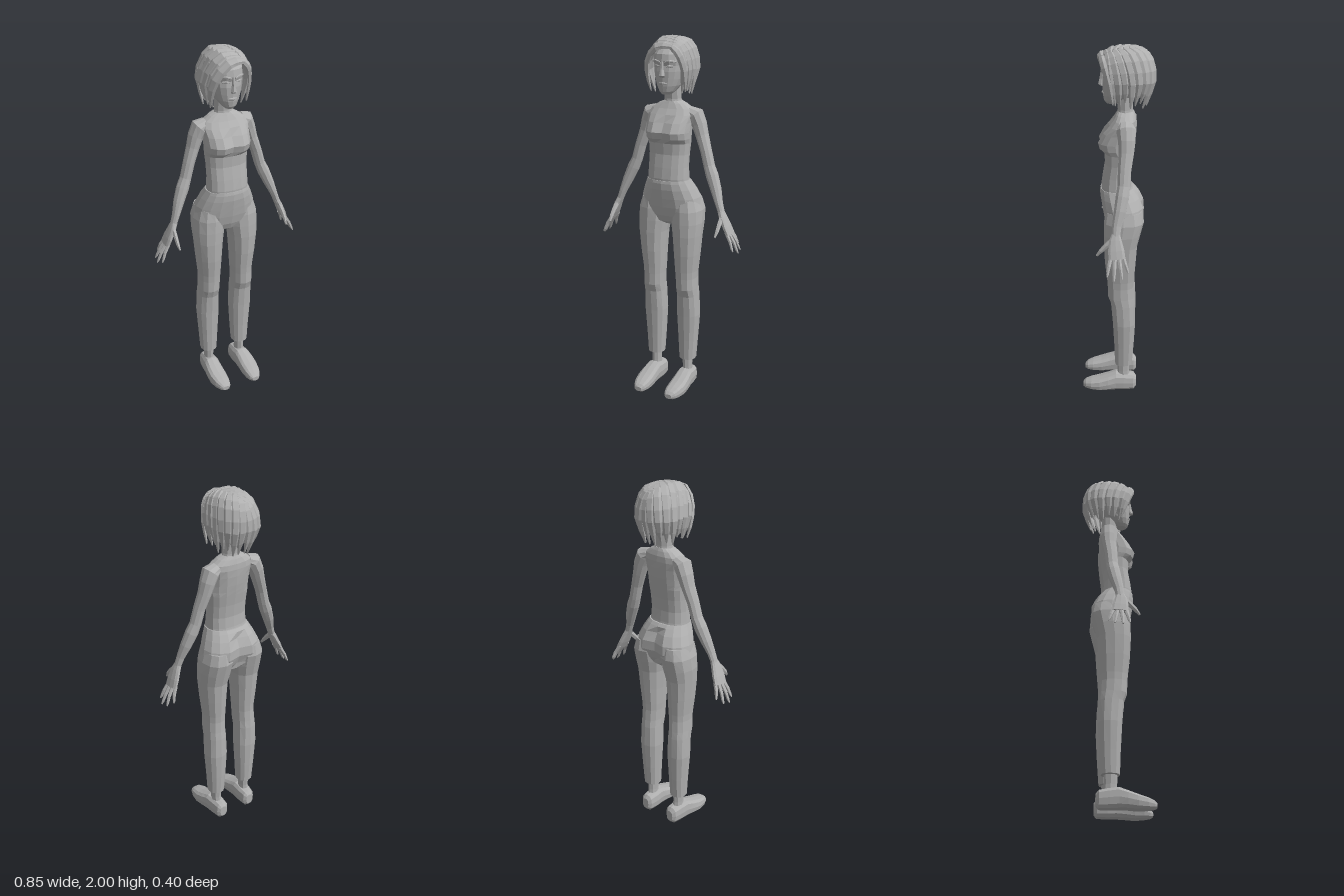
import * as THREE from 'three';

const V = (x, y, z) => new THREE.Vector3(x, y, z);
const UP = V(0, 1, 0), FRONT = V(0, 0, 1);
const grey = new THREE.MeshStandardMaterial({ color: 0xb0b0b0 });
grey.name = 'grey';

// Lofts closed sections along stations [x, y, z, halfWidth, halfDepth].
// hint(point) gives the depth direction, dir fixes the section plane, p squares the section.
function loft(stations, { n = 8, hint = () => FRONT, dir = null, p = 2, warp = null } = {}) {
  const pts = stations.map(s => V(s[0], s[1], s[2]));
  const pos = [], idx = [], last = pts.length - 1;
  pts.forEach((c, i) => {
    const t = dir ? dir.clone() : pts[Math.min(i + 1, last)].clone().sub(pts[Math.max(i - 1, 0)]).normalize();
    const h = hint(c), v = h.clone().addScaledVector(t, -h.dot(t)).normalize();
    const u = v.clone().cross(t);
    for (let j = 0; j < n; j++) {
      const a = j / n * Math.PI * 2;
      const f = k => Math.abs(k) < 1e-6 ? 0 : Math.sign(k) * Math.abs(k) ** (2 / p);
      const q = c.clone().addScaledVector(u, stations[i][3] * f(Math.cos(a)))
        .addScaledVector(v, stations[i][4] * f(Math.sin(a)));
      if (warp) warp(q);
      pos.push(q.x, q.y, q.z);
    }
  });
  for (let i = 0; i < last; i++) for (let j = 0; j < n; j++) {
    const k = (j + 1) % n, a = i * n + j, b = i * n + k;
    idx.push(a, b, b + n, a, b + n, a + n);
  }
  for (let j = 1; j < n - 1; j++) idx.push(0, j + 1, j, last * n, last * n + j, last * n + j + 1);
  const g = new THREE.BufferGeometry();
  g.setAttribute('position', new THREE.Float32BufferAttribute(pos, 3));
  g.setIndex(idx);
  return g;
}

// Mirrors a geometry in x and restores its winding
function mirrored(g) {
  const m = g.clone().scale(-1, 1, 1), ix = m.index.array;
  for (let i = 0; i < ix.length; i += 3) [ix[i], ix[i + 1]] = [ix[i + 1], ix[i]];
  return m;
}

function add(group, name, g) {
  const flat = g.toNonIndexed();
  flat.computeVertexNormals();
  const mesh = new THREE.Mesh(flat, grey);
  mesh.name = name;
  group.add(mesh);
}
function pair(group, name, g) {
  add(group, name + 'Left', g);
  add(group, name + 'Right', mirrored(g));
}

// Level sections from [y, halfWidth, zFront, zBack]
const level = (rows, opts) => loft(
  rows.map(([y, rx, f, b]) => [0, y, (f + b) / 2, rx, (f - b) / 2]), { n: 16, dir: UP, ...opts });

function buildBody(g) {
  add(g, 'torso', level([
    [1.2, .118, .085, -.085], [1.25, .115, .088, -.075], [1.31, .112, .08, -.07], [1.38, .113, .068, -.076],
    [1.44, .118, .07, -.086], [1.465, .122, .098, -.09], [1.5, .124, .108, -.095], [1.55, .126, .08, -.1],
    [1.59, .132, .045, -.102], [1.62, .118, .022, -.1], [1.645, .08, .008, -.092], [1.66, .045, 0, -.085]
  ], { p: 2.4, warp: q => { if (Math.abs(q.x) < .02 && q.z > .05 && q.y > 1.45 && q.y < 1.56) q.z -= .018; } }));
  add(g, 'neck', level([[1.62, .058, .008, -.09], [1.67, .048, 0, -.082], [1.76, .048, .01, -.085]], { n: 10 }));
  add(g, 'trouserHips', level([
    [.985, .03, .02, -.07], [1.005, .09, .05, -.1], [1.04, .155, .065, -.13], [1.09, .176, .077, -.15],
    [1.14, .166, .086, -.148], [1.19, .145, .094, -.125], [1.225, .128, .095, -.1], [1.24, .121, .092, -.086]
  ], { p: 2.3, warp: q => { if (Math.abs(q.x) < .02 && q.z < -.1) q.z += .025; } }));
  // Legs from [y, xInner, xOuter, zFront, zBack]
  const leg = [
    [.18, .055, .148, .012, -.086], [.3, .048, .156, .016, -.095], [.45, .04, .167, .024, -.103],
    [.57, .044, .163, .034, -.1], [.615, .045, .161, .05, -.096], [.68, .043, .159, .052, -.092],
    [.72, .04, .161, .055, -.094], [.82, .035, .172, .066, -.102], [.93, .027, .182, .072, -.11],
    [1.0, .015, .187, .072, -.128], [1.07, .012, .184, .07, -.146], [1.13, .03, .165, .06, -.135]];
  pair(g, 'trouserLeg', loft(
    leg.map(([y, a, b, f, k]) => [(a + b) / 2, y, (f + k) / 2, (b - a) / 2, (f - k) / 2]),
    { n: 12, dir: UP, p: 2.3 }));
  pair(g, 'ankle', loft([[.1, .06, -.04, .028, .038], [.1, .13, -.036, .026, .034], [.1, .2, -.036, .028, .036]],
    { dir: UP }));
  // Shoes from [z, xCentre, halfWidth, bottom, top]
  const shoe = [
    [-.11, .096, .022, .02, .085], [-.095, .096, .037, .004, .105], [-.04, .098, .044, .002, .115],
    [.005, .101, .046, .004, .12], [.05, .104, .05, .004, .102], [.1, .104, .052, .001, .083],
    [.15, .101, .046, .004, .068], [.182, .098, .034, .009, .055], [.197, .097, .02, .016, .042]];
  pair(g, 'shoe', loft(shoe.map(([z, x, w, b, t]) => [x, (b + t) / 2, z, w, (t - b) / 2]),
    { n: 12, dir: FRONT, hint: () => UP, p: 2.8 }));
}

function buildArms(g) {
  pair(g, 'arm', loft([
    [.095, 1.605, -.045, .03, .04], [.132, 1.588, -.048, .046, .052], [.153, 1.54, -.052, .04, .047],
    [.172, 1.48, -.05, .034, .041], [.2, 1.4, -.042, .03, .036], [.222, 1.32, -.038, .03, .034],
    [.243, 1.27, -.032, .034, .036], [.272, 1.2, -.02, .029, .033], [.298, 1.13, -.005, .02, .026],
    [.316, 1.08, 0, .017, .023]], { n: 10 }));
  pair(g, 'palm', loft([
    [.312, 1.09, 0, .016, .022], [.326, 1.06, .002, .016, .034], [.348, 1.01, -.003, .015, .044],
    [.366, .97, -.008, .011, .045]], { n: 10, p: 2.6 }));
  const fingers = [
    [.355, .985, .024, .405, .888, .043], [.36, .98, .003, .42, .873, .006],
    [.36, .98, -.018, .414, .88, -.036], [.355, .985, -.038, .389, .905, -.067]];
  fingers.forEach(([x, y, z, X, Y, Z], i) => pair(g, 'finger' + (i + 1), loft([
    [x, y, z, .01, .012], [(x + X) / 2 + .004, (y + Y) / 2, (z + Z) / 2, .009, .01],
    [x * .15 + X * .85, y * .15 + Y * .85, z * .15 + Z * .85, .007, .008], [X, Y, Z, .003, .004]], { n: 6 })));
  pair(g, 'thumb', loft([
    [.324, 1.06, .015, .013, .018], [.326, 1.03, .05, .012, .015], [.327, 1.0, .078, .01, .012],
    [.324, .972, .1, .005, .006]], { n: 6, hint: () => V(0, .6, 1) }));
}

function buildHead(g) {
  add(g, 'face', level([
    [1.7, .024, .058, 0], [1.715, .04, .07, -.04], [1.745, .06, .076, -.08], [1.78, .074, .078, -.11],
    [1.82, .083, .08, -.125], [1.85, .086, .076, -.13], [1.875, .086, .085, -.13], [1.91, .084, .08, -.13],
    [1.945, .07, .05, -.11], [1.97, .04, .01, -.08]], { p: 2.2 }));
  add(g, 'nose', loft([[0, 1.79, .08, .013, .006], [0, 1.8, .084, .017, .018], [0, 1.83, .08, .009, .015],
    [0, 1.875, .078, .008, .009]], { n: 6, dir: UP }));
  add(g, 'lips', loft([[-.024, 1.758, .07, .005, .004], [0, 1.758, .077, .008, .007], [.024, 1.758, .07, .005, .004]],
    { n: 6, dir: V(1, 0, 0) }));
  pair(g, 'brow', loft([[.01, 1.868, .08, .006, .007], [.04, 1.877, .076, .006, .008], [.07, 1.87, .05, .004, .006]],
    { n: 6, dir: V(1, 0, 0) }));
  pair(g, 'eye', loft([[.018, 1.846, .072, .003, .004], [.036, 1.848, .07, .008, .006], [.056, 1.848, .058, .003, .004]],
    { n: 6, dir: V(1, 0, 0) }));
}

function buildHair(g) {
  const C = V(0, 1.85, -.045), R = V(.116, .137, .145);
  // Pushes a point onto the rounded hair volume
  const onHair = (q, k = 1) => {
    const d = q.clone().sub(C).divide(R);
    const m = (Math.abs(d.x) ** 2.6 + Math.abs(d.y) ** 2.6 + Math.abs(d.z) ** 2.6) ** (1 / 2.6);
    return d.multiplyScalar(k / m).multiply(R).add(C);
  };
  const shell = (name, ...args) => {
    const s = new THREE.SphereGeometry(...args), p = s.attributes.position;
    for (let i = 0; i < p.count; i++) {
      const q = onHair(V(p.getX(i), p.getY(i), p.getZ(i)).multiply(R).add(C), .96);
      p.setXYZ(i, q.x, q.y, q.z);
    }
    add(g, name, s);
  };
  // Underlying cap, open over the face
  shell('hairCrown', 1, 20, 4, 0, Math.PI * 2, 0, Math.PI * .3);
  shell('hairBack', 1, 16, 5, Math.PI / 2 + 1.05, Math.PI * 2 - 2.1, Math.PI * .3, Math.PI * .45);
  // Overlapping locks swept from the side parting to the hem
  const lock = (name, points, w) => {
    const curve = new THREE.CatmullRomCurve3(points);
    const widths = [.55, .85, 1, 1, .95, .85, .6, .12];
    add(g, name, loft(widths.map((k, i) => {
      const q = curve.getPoint(i / 7);
      return [q.x, q.y, q.z, w * k, .013 * Math.min(1, k + .2)];
    }), { n: 6, hint: q => q.clone().sub(C).divide(R).normalize() }));
  };
  const count = 8;
  for (const s of [-1, 1]) for (let i = 0; i < count; i++) {
    const f = i / (count - 1), a = s * (1.02 + f * (s < 0 ? 2.1 : 1.8));
    const start = onHair(V(.05 - .045 * f, 1.97, .06 - .17 * f));
    const side = onHair(V(R.x * Math.sin(a), 1.845, C.z + R.z * Math.cos(a)));
    const top = onHair(start.clone().add(side).multiplyScalar(.5).add(V(0, .03, 0)));
    const low = .8 + .05 * (i % 2);
    const tip = V(R.x * low * Math.sin(a), 1.705 - .022 * f + .014 * (i % 3), C.z + R.z * (low - .1) * Math.cos(a));
    lock('hairLock' + (s < 0 ? 'Right' : 'Left') + (i + 1), [start, top, side, tip], .027);
  }
  // Fringe across the forehead
  lock('fringeRight', [V(.058, 1.95, .08), V(-.02, 1.953, .09), V(-.085, 1.89, .075), V(-.108, 1.8, .045), V(-.1, 1.71, .02)], .026);
  lock('fringeLeft', [V(.045, 1.955, .08), V(.085, 1.92, .07), V(.108, 1.84, .045), V(.105, 1.715, .02)], .022);
}

export function createModel() {
  const model = new THREE.Group();
  model.name = 'standingFigure';
  for (const [name, build] of [['body', buildBody], ['arms', buildArms], ['head', buildHead], ['hair', buildHair]]) {
    const part = new THREE.Group();
    part.name = name;
    build(part);
    model.add(part);
  }
  return model;
}
